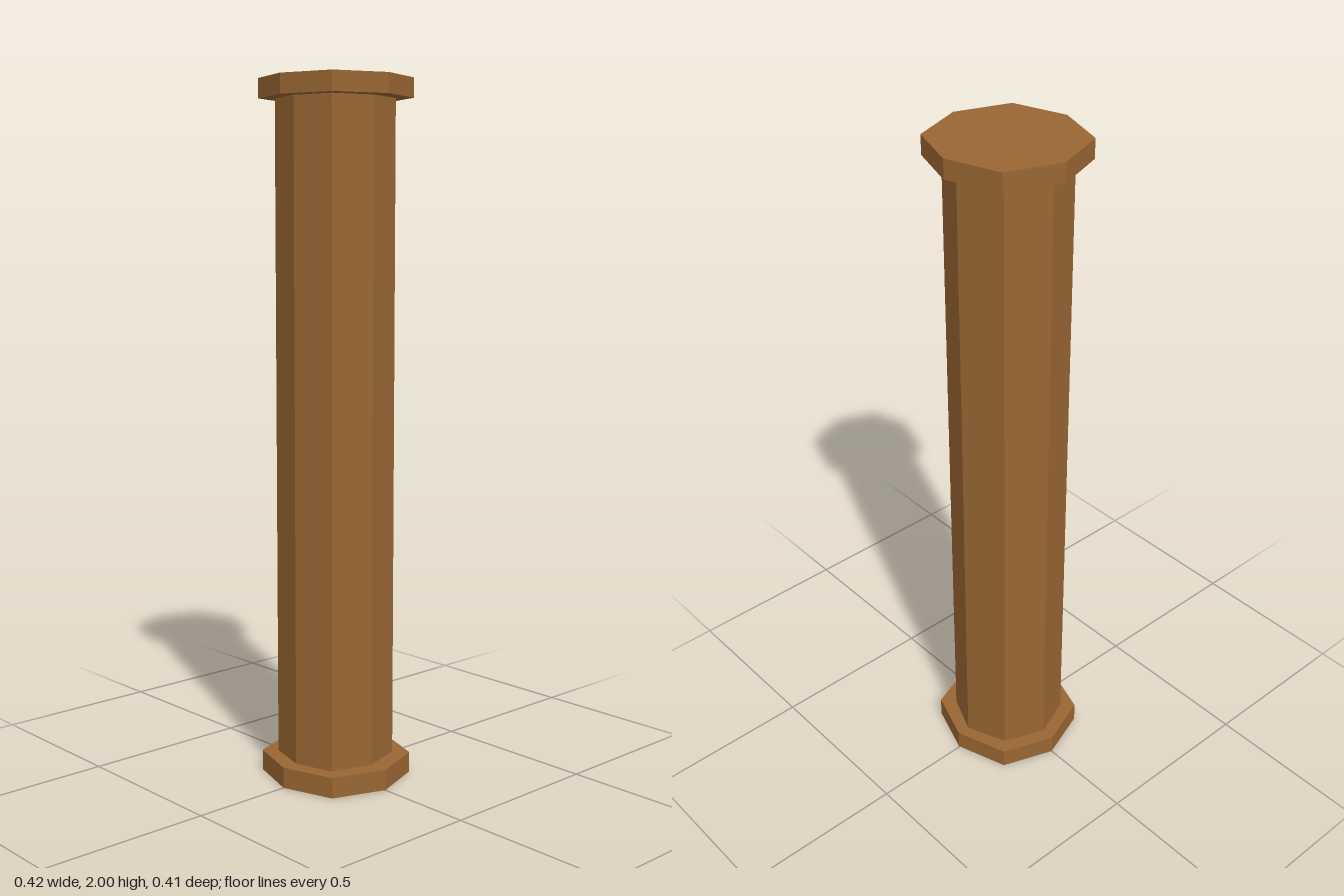
import * as THREE from 'three';

// Corners as [x, z], going around the column
const PLATE = [[0.209, 0], [0.153, 0.153], [0, 0.203], [-0.153, 0.153],
  [-0.209, 0], [-0.153, -0.153], [0.003, -0.205], [0.153, -0.153]];
const SHAFT = [[0.152, 0], [0.115, 0.12], [0, 0.155], [-0.12, 0.12],
  [-0.168, 0], [-0.12, -0.12], [0, -0.168], [0.115, -0.12]];

export function createModel() {
  const group = new THREE.Group();
  group.name = 'column';
  const wood = new THREE.MeshStandardMaterial({ color: 0x996633, flatShading: true });

  // Upright eight-sided prism between two heights
  function prism(name, corners, bottom, top) {
    const shape = new THREE.Shape(corners.map(([x, z]) => new THREE.Vector2(x, -z)));
    const geometry = new THREE.ExtrudeGeometry(shape, { depth: top - bottom, bevelEnabled: false });
    geometry.rotateX(-Math.PI / 2);
    geometry.translate(0, bottom, 0);
    const mesh = new THREE.Mesh(geometry, wood);
    mesh.name = name;
    group.add(mesh);
  }

  prism('basePlate', PLATE, 0, 0.06);
  prism('shaft', SHAFT, 0.06, 1.945);
  prism('topPlate', PLATE, 1.945, 2);
  return group;
}
